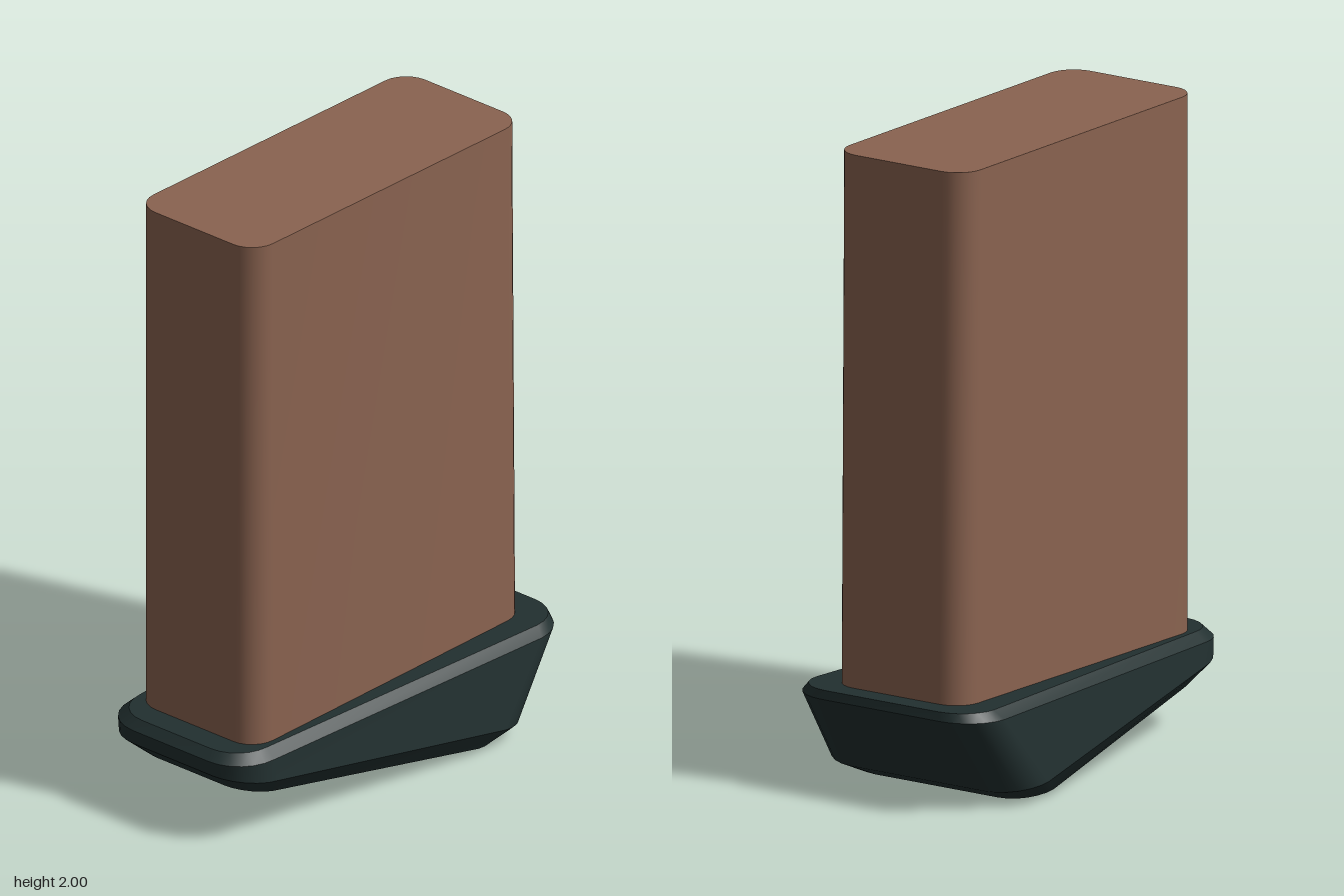
import * as THREE from 'three';
import { toCreasedNormals } from 'three/addons/utils/BufferGeometryUtils.js';

const STEPS = 6; // segments per rounded corner

// Rounded, tapering, tilted outline: x0/y0/w0 at the -x end, x1/y1/w1 at the +x end
function ring({ x0, x1, y0, y1, w0, w1, r }) {
  const centres = [[x1 - r, w1 - r], [x0 + r, w0 - r], [x0 + r, r - w0], [x1 - r, r - w1]];
  const points = [];
  centres.forEach(([cx, cz], corner) => {
    for (let i = 0; i <= STEPS; i++) {
      const a = (corner + i / STEPS) * Math.PI / 2;
      const x = cx + r * Math.cos(a);
      const t = (x - x0) / (x1 - x0);
      points.push(new THREE.Vector3(x, y0 + (y1 - y0) * t, cz + r * Math.sin(a)));
    }
  });
  return points;
}

// Skin a series of outlines and close both ends
function loft(outlines, crease) {
  const rings = outlines.map(ring);
  const n = rings[0].length;
  const pos = [];
  const tri = (...p) => p.forEach((v) => pos.push(v.x, v.y, v.z));
  const middle = (pts) => pts.reduce((s, p) => s.add(p), new THREE.Vector3()).divideScalar(n);
  const first = rings[0], last = rings[rings.length - 1];
  const c0 = middle(first), c1 = middle(last);
  for (let i = 0; i < n; i++) {
    const j = (i + 1) % n;
    tri(c0, first[i], first[j]);
    tri(c1, last[j], last[i]);
    for (let k = 0; k < rings.length - 1; k++) {
      const a = rings[k], b = rings[k + 1];
      tri(a[i], b[i], a[j]);
      tri(a[j], b[i], b[j]);
    }
  }
  const geometry = new THREE.BufferGeometry();
  geometry.setAttribute('position', new THREE.Float32BufferAttribute(pos, 3));
  return toCreasedNormals(geometry, crease);
}

export function createModel() {
  const brown = new THREE.MeshStandardMaterial({ color: 0x8a6350 });
  brown.name = 'brown body';
  const dark = new THREE.MeshStandardMaterial({ color: 0x223030 });
  dark.name = 'dark green base';

  const group = new THREE.Group();
  const add = (name, geometry, material) => {
    const mesh = new THREE.Mesh(geometry, material);
    mesh.name = name;
    group.add(mesh);
  };

  // Tall rounded body, slightly wider at its foot
  add('body', loft([
    { x0: -0.6, x1: 0.625, y0: 0.29, y1: 0.29, w0: 0.245, w1: 0.245, r: 0.085 },
    { x0: -0.6, x1: 0.612, y0: 2, y1: 2, w0: 0.245, w1: 0.245, r: 0.085 },
  ], 0.6), brown);

  // Wedge base, from the pocket underneath, over the rim, and up to the top face
  add('base', loft([
    { x0: -0.46, x1: 0.26, y0: 0.24, y1: 0.13, w0: 0.15, w1: 0.22, r: 0.06 },
    { x0: -0.53, x1: 0.33, y0: 0.152, y1: 0.018, w0: 0.19, w1: 0.27, r: 0.09 },
    { x0: -0.615, x1: 0.415, y0: 0.165, y1: 0.005, w0: 0.255, w1: 0.35, r: 0.12 },
    { x0: -0.695, x1: 0.515, y0: 0.235, y1: 0.05, w0: 0.3, w1: 0.39, r: 0.14 },
    { x0: -0.705, x1: 0.705, y0: 0.285, y1: 0.305, w0: 0.295, w1: 0.362, r: 0.14 },
    { x0: -0.68, x1: 0.7, y0: 0.315, y1: 0.333, w0: 0.262, w1: 0.332, r: 0.12 },
  ], 0.45), dark);

  return group;
}
